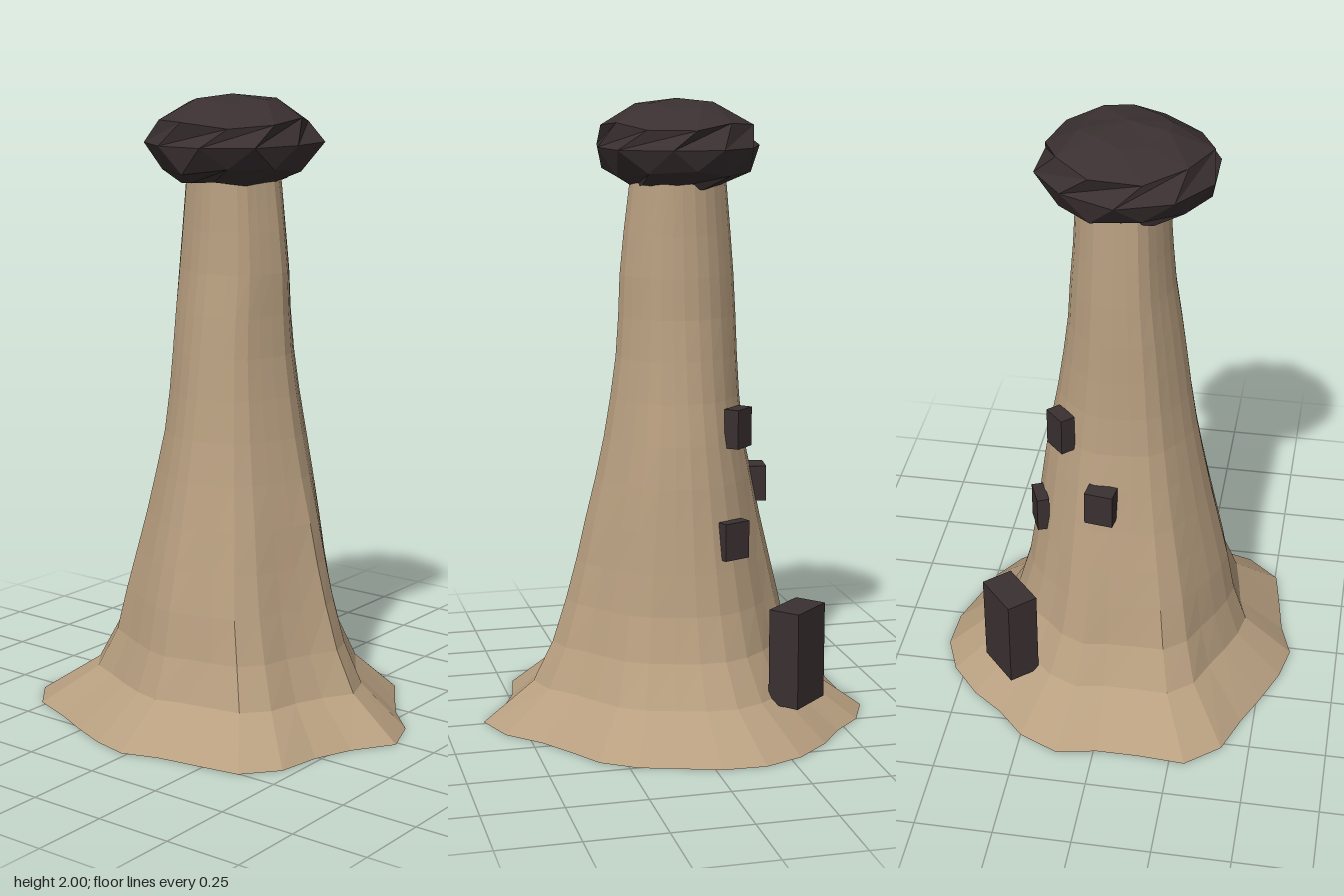
import * as THREE from 'three';

// Joins equal-length rings of [x, y, z] (listed bottom to top, clockwise from above) into a closed, faceted solid
function loft(rings, bottom, top) {
  const pos = [], n = rings[0].length;
  const tri = (a, b, c) => pos.push(...a, ...b, ...c);
  for (let r = 0; r < rings.length - 1; r++) {
    for (let i = 0; i < n; i++) {
      const j = (i + 1) % n, lo = rings[r], hi = rings[r + 1];
      tri(lo[i], hi[i], lo[j]);
      tri(lo[j], hi[i], hi[j]);
    }
  }
  const last = rings[rings.length - 1];
  for (let i = 0; i < n; i++) {
    const j = (i + 1) % n;
    tri(bottom, rings[0][i], rings[0][j]);
    tri(top, last[j], last[i]);
  }
  const g = new THREE.BufferGeometry();
  g.setAttribute('position', new THREE.Float32BufferAttribute(pos, 3));
  g.computeVertexNormals();
  return g;
}

export function createModel() {
  const group = new THREE.Group();
  const sand = new THREE.MeshStandardMaterial({ color: 0xb89f80, flatShading: true });
  sand.name = 'sandstone';
  const dark = new THREE.MeshStandardMaterial({ color: 0x3a3031, flatShading: true });
  dark.name = 'dark rock';
  const add = (name, geometry, material) => {
    const mesh = new THREE.Mesh(geometry, material);
    mesh.name = name;
    group.add(mesh);
    return mesh;
  };

  // Rock column: wavy foot outline (x, z), starting at the back
  const foot = [
    [-0.3, -0.61], [-0.15, -0.6], [-0.01, -0.6], [0.12, -0.625], [0.25, -0.565], [0.34, -0.47], [0.44, -0.395],
    [0.535, -0.285], [0.585, -0.16], [0.58, -0.02], [0.54, 0.1], [0.5, 0.225], [0.43, 0.33], [0.32, 0.4],
    [0.22, 0.47], [0.12, 0.57], [-0.015, 0.62], [-0.14, 0.535], [-0.26, 0.485], [-0.4, 0.46], [-0.505, 0.37],
    [-0.53, 0.225], [-0.55, 0.1], [-0.59, -0.02], [-0.565, -0.14], [-0.515, -0.265], [-0.46, -0.385], [-0.41, -0.52],
  ];
  // Extents at each height: y, left, right, back, front
  const levels = [
    [0, 0.59, 0.585, 0.625, 0.62], [0.13, 0.43, 0.42, 0.445, 0.455], [0.26, 0.385, 0.345, 0.38, 0.39],
    [0.4, 0.36, 0.305, 0.35, 0.345], [0.53, 0.33, 0.285, 0.32, 0.31], [0.66, 0.3, 0.268, 0.29, 0.28],
    [0.8, 0.27, 0.25, 0.262, 0.245], [0.93, 0.245, 0.23, 0.235, 0.217], [1.06, 0.225, 0.205, 0.222, 0.195],
    [1.19, 0.208, 0.185, 0.215, 0.177], [1.32, 0.19, 0.168, 0.21, 0.168], [1.45, 0.17, 0.16, 0.203, 0.163],
    [1.58, 0.158, 0.149, 0.193, 0.15], [1.78, 0.145, 0.138, 0.176, 0.125],
  ];
  const column = levels.map(([y, l, r, b, f]) => foot.map(([x, z]) => {
    const u = x / (x < 0 ? 0.59 : 0.585), v = z / (z < 0 ? 0.625 : 0.62);
    // The waves fade towards a round section higher up
    const k = THREE.MathUtils.lerp(1, 1 / Math.hypot(u, v), Math.min(0.6, y * 0.7));
    return [u * k * (x < 0 ? l : r), y, v * k * (z < 0 ? b : f)];
  }));
  add('rockColumn', loft(column, [0, 0, 0], [0, 1.8, -0.02]), sand);

  // Boulder cap: ten-sided rim, with staggered smaller rings above and below
  const rim = [
    [-0.29, -0.1], [-0.19, -0.24], [-0.02, -0.3], [0.15, -0.23], [0.25, -0.11],
    [0.245, 0.05], [0.165, 0.205], [-0.015, 0.23], [-0.19, 0.195], [-0.29, 0.06],
  ];
  const cx = -0.015, cz = -0.025;
  // Height, scale, half-steps of stagger, height wobble
  const capLevels = [
    [1.73, 0.56, 0, 0.008], [1.775, 0.9, 0.5, 0.012], [1.85, 1, 0, 0], [1.917, 0.92, 0.5, 0.012], [1.98, 0.5, 0, 0.01],
  ];
  const cap = capLevels.map(([y, s, shift, wobble]) => rim.map(([x, z], i) => {
    const [px, pz] = rim[(i + 9) % 10];
    const k = s * (1 + (s < 1 ? 0.05 * Math.sin(i * 2.3 + y * 40) : 0));
    return [
      cx + (THREE.MathUtils.lerp(x, px, shift) - cx) * k,
      y + wobble * Math.sin(i * 1.9 + y * 20),
      cz + (THREE.MathUtils.lerp(z, pz, shift) - cz) * k,
    ];
  }));
  // Alternate the shift so each ring's points sit between those below
  add('boulderCap', loft(cap, [cx, 1.725, cz], [cx, 2, cz]), dark);

  // Door and windows: name, centre, size, outward direction (x, z)
  const openings = [
    ['door', [0.322, 0.265, -0.335], [0.166, 0.31, 0.106], [0.74, -0.67]],
    ['upperWindow', [0.17, 0.975, -0.18], [0.085, 0.125, 0.05], [0.72, -0.69]],
    ['lowerWindow', [0.25, 0.63, -0.145], [0.093, 0.12, 0.04], [0.92, -0.38]],
    ['backWindow', [0.025, 0.765, -0.28], [0.093, 0.115, 0.06], [0.14, -0.99]],
  ];
  for (const [name, centre, size, [dx, dz]] of openings) {
    const mesh = add(name, new THREE.BoxGeometry(...size), dark);
    mesh.position.set(...centre);
    mesh.rotation.y = Math.atan2(dx, dz);
  }
  return group;
}
